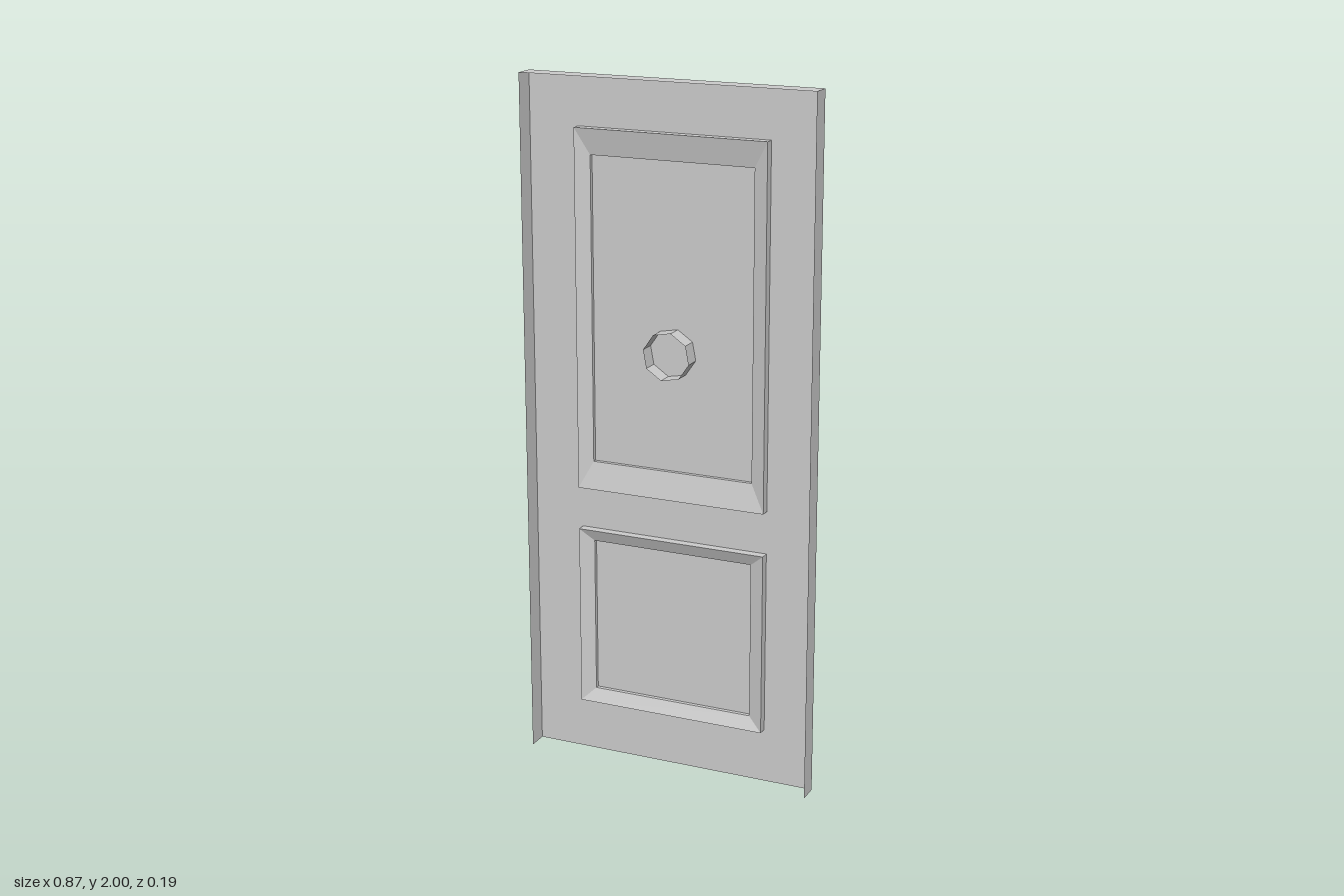
import * as THREE from 'three';

const material = new THREE.MeshStandardMaterial({
  color: 0xcccccc, flatShading: true, side: THREE.DoubleSide,
});

const WIDTH = 0.866, HEIGHT = 2, BACK = 0.035, FRONT = 0.095;
const panels = [
  { name: 'upperPanel', outer: [0.285, 0.82, 1.855], inner: [0.243, 0.9, 1.78] },
  { name: 'lowerPanel', outer: [0.285, 0.16, 0.695], inner: [0.243, 0.2, 0.66] },
];

function add(parent, name, geometry) {
  const mesh = new THREE.Mesh(geometry, material);
  mesh.name = name;
  parent.add(mesh);
  return mesh;
}

// Corners of a rectangle, given half width, bottom and top
const corners = ([w, y0, y1]) => [[-w, y0], [w, y0], [w, y1], [-w, y1]];

// Moulding: joins rectangular loops, from the outer rim to the flat panel
function mouldingGeometry(loops) {
  const positions = [];
  for (let k = 0; k < loops.length - 1; k++) {
    const a = loops[k], b = loops[k + 1];
    const ca = corners(a.rect), cb = corners(b.rect);
    for (let i = 0; i < 4; i++) {
      const j = (i + 1) % 4;
      const p = [...ca[i], a.z], q = [...ca[j], a.z];
      const r = [...cb[j], b.z], s = [...cb[i], b.z];
      positions.push(...p, ...q, ...r, ...p, ...r, ...s);
    }
  }
  const geometry = new THREE.BufferGeometry();
  geometry.setAttribute('position', new THREE.Float32BufferAttribute(positions, 3));
  geometry.computeVertexNormals();
  return geometry;
}

function createDoor() {
  const door = new THREE.Group();
  door.name = 'door';

  // Door sheet with two panel openings
  const toPoints = (rect) => corners(rect).map(([x, y]) => new THREE.Vector2(x, y));
  const shape = new THREE.Shape(toPoints([WIDTH / 2, 0, HEIGHT]));
  for (const p of panels) shape.holes.push(new THREE.Path(toPoints(p.outer).reverse()));
  add(door, 'doorSheet', new THREE.ShapeGeometry(shape)).position.z = BACK;

  // Side and top returns; the bottom and front stay open
  const depth = FRONT - BACK, middle = (FRONT + BACK) / 2;
  for (const side of [-1, 1]) {
    const wall = new THREE.PlaneGeometry(depth, HEIGHT).rotateY(side * Math.PI / 2);
    add(door, side > 0 ? 'leftEdge' : 'rightEdge', wall)
      .position.set(side * WIDTH / 2, HEIGHT / 2, middle);
  }
  const top = new THREE.PlaneGeometry(WIDTH, depth).rotateX(-Math.PI / 2);
  add(door, 'topEdge', top).position.set(0, HEIGHT, middle);

  // Step in, sloping bevel, small step back out to the flat panel
  for (const { name, outer, inner } of panels) {
    add(door, name + 'Moulding', mouldingGeometry([
      { rect: outer, z: BACK },
      { rect: outer, z: BACK + 0.027 },
      { rect: inner, z: BACK + 0.012 },
      { rect: inner, z: BACK },
    ]));
    const [w, y0, y1] = inner;
    add(door, name, new THREE.PlaneGeometry(2 * w, y1 - y0))
      .position.set(0, (y0 + y1) / 2, BACK);
  }
  return door;
}

function createHandle() {
  const handle = new THREE.Group();
  handle.name = 'handle';
  handle.position.y = 1.243;
  handle.rotation.z = THREE.MathUtils.degToRad(-12);

  // Eight-sided hub through the door, closed at the back only
  const hubBack = -0.1, hubFront = 0.085, radius = 0.07;
  const hub = new THREE.CylinderGeometry(radius, radius, hubFront - hubBack, 8, 1, true);
  add(handle, 'hub', hub.rotateX(Math.PI / 2)).position.z = (hubFront + hubBack) / 2;
  add(handle, 'hubCap', new THREE.CircleGeometry(radius, 8).rotateY(Math.PI))
    .position.z = hubBack;

  // Three square spokes turned on edge
  const start = 0.03, end = 0.26;
  for (let i = 0; i < 3; i++) {
    const spoke = new THREE.CylinderGeometry(0.04, 0.04, end - start, 4);
    spoke.translate(0, (start + end) / 2, 0).rotateZ(i * Math.PI * 2 / 3);
    add(handle, 'spoke' + (i + 1), spoke).position.z = -0.05;
  }
  return handle;
}

export function createModel() {
  const model = new THREE.Group();
  model.name = 'doorWithHandle';
  model.add(createDoor(), createHandle());
  return model;
}
